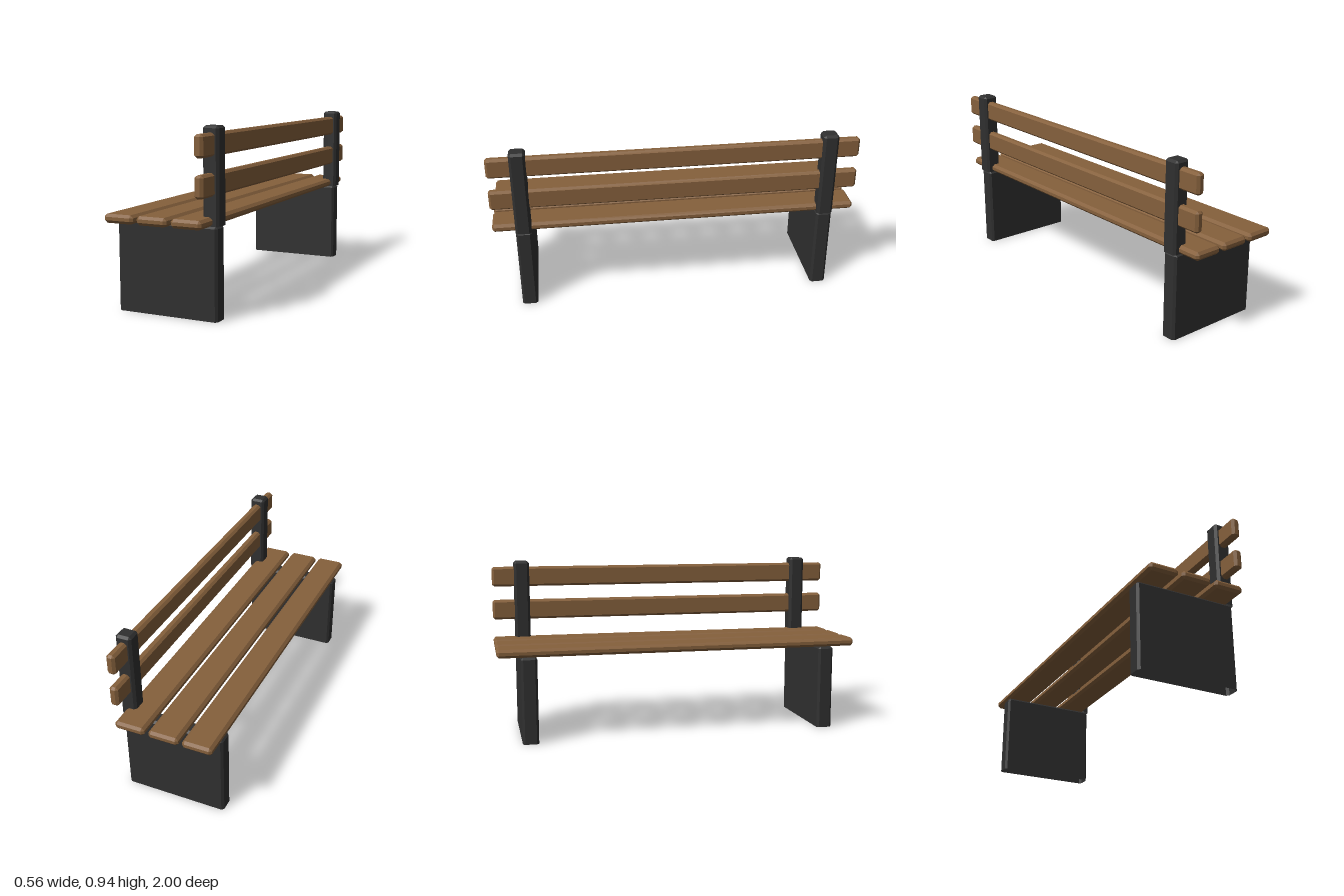
import * as THREE from 'three';
import { ConvexGeometry } from 'three/addons/geometries/ConvexGeometry.js';

// Box between two corners with chamfered edges c = [cx, cy, cz];
// openBase keeps the lower end square and leaves it uncapped.
function chamferedBox(min, max, c, openBase = false) {
  const mid = min.map((v, i) => (v + max[i]) / 2);
  const half = max.map((v, i) => (v - min[i]) / 2);
  const points = [];
  for (const sx of [-1, 1]) for (const sy of [-1, 1]) for (const sz of [-1, 1]) {
    const s = [sx, sy, sz];
    for (let full = 0; full < 3; full++) { // the axis on which this corner reaches the outer face
      const square = openBase && sy < 0;
      if (square && full === 1) continue;
      const p = s.map((sign, i) => {
        const inset = i === full || (square && i === 1) ? 0 : c[i];
        return mid[i] + sign * (half[i] - inset);
      });
      points.push(new THREE.Vector3(...p));
    }
  }
  const geometry = new ConvexGeometry(points);
  if (!openBase) return geometry;

  // drop the triangles of the bottom cap
  const pos = geometry.attributes.position;
  const kept = [];
  for (let i = 0; i < pos.count; i += 3) {
    const onBase = [0, 1, 2].every(k => pos.getY(i + k) < min[1] + 1e-4);
    if (!onBase) for (let k = 0; k < 3; k++) kept.push(pos.getX(i + k), pos.getY(i + k), pos.getZ(i + k));
  }
  const open = new THREE.BufferGeometry();
  open.setAttribute('position', new THREE.Float32BufferAttribute(kept, 3));
  open.computeVertexNormals();
  return open;
}

export function createModel() {
  const bench = new THREE.Group();
  bench.name = 'bench';
  const wood = new THREE.MeshStandardMaterial({ color: 0x85603c });
  wood.name = 'brown wood';
  const iron = new THREE.MeshStandardMaterial({ color: 0x303030, side: THREE.DoubleSide });
  iron.name = 'dark iron';

  const add = (name, geometry, material) => {
    const mesh = new THREE.Mesh(geometry, material);
    mesh.name = name;
    bench.add(mesh);
  };

  // three seat slats
  [[-0.282, -0.121], [-0.1, 0.064], [0.087, 0.25]].forEach(([x0, x1], i) =>
    add(`seatSlat${i + 1}`, chamferedBox([x0, 0.467, -1], [x1, 0.512, 1], [0.015, 0.014, 0.012]), wood));

  // two backrest slats
  [0.612, 0.801].forEach((y, i) =>
    add(`backSlat${i + 1}`, chamferedBox([0.215, y, -1], [0.262, y + 0.111, 1], [0.014, 0.012, 0.012]), wood));

  // end panels and backrest posts
  for (const [side, z] of [['front', 0.833], ['rear', -0.833]]) {
    const z0 = z - 0.043, z1 = z + 0.043;
    add(`${side}LegPanel`, chamferedBox([-0.283, 0, z0], [0.271, 0.467, z1], [0.012, 0.012, 0.012], true), iron);
    add(`${side}BackPost`, chamferedBox([0.195, 0.467, z0], [0.281, 0.945, z1], [0.013, 0.012, 0.013], true), iron);
  }
  return bench;
}
